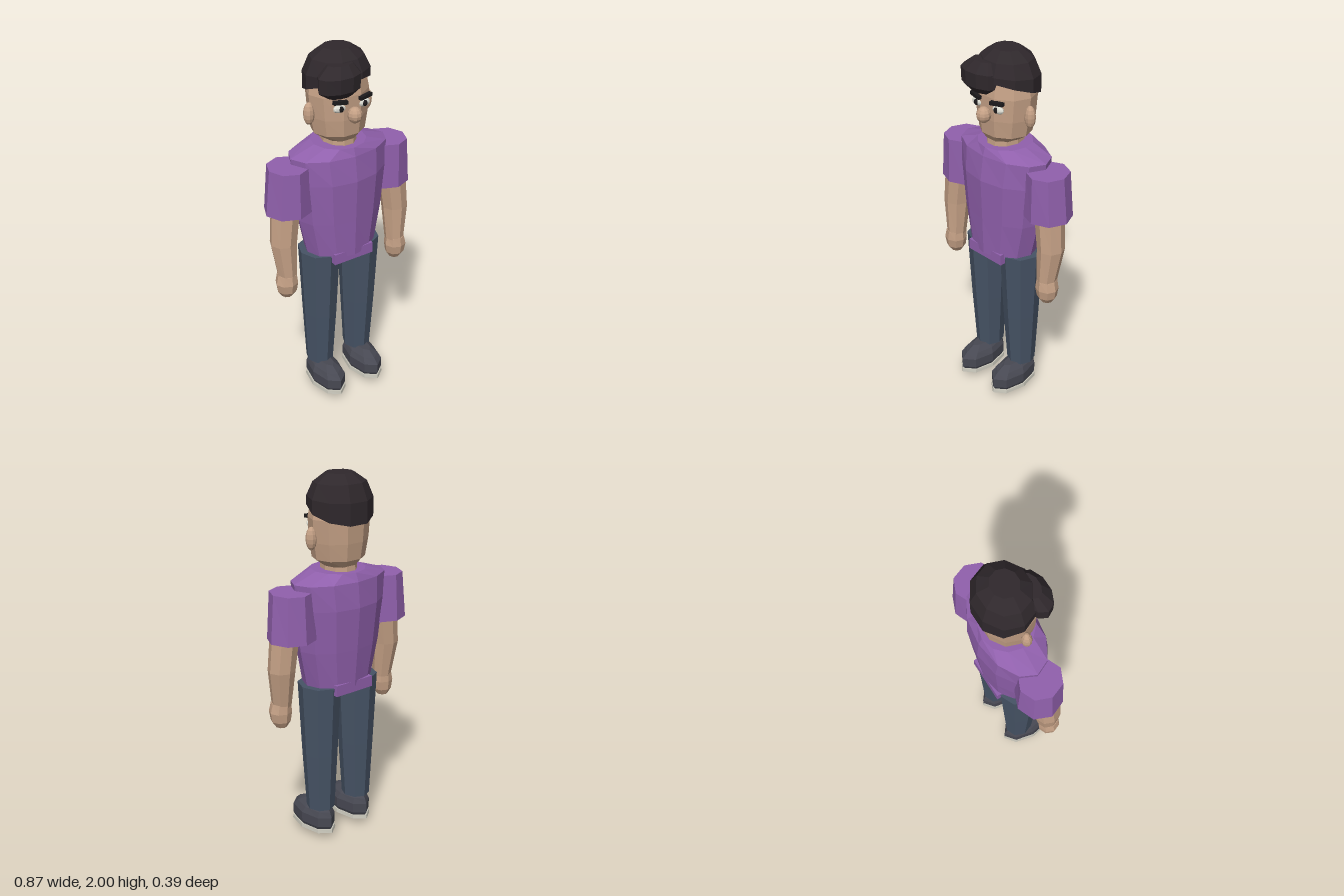
import * as THREE from 'three';

const mat = (color) => new THREE.MeshStandardMaterial({ color, flatShading: true });

// Closed loft through elliptical rings, bottom to top: [y, cx, cz, rx, rz, tilt]
function loft(rings, sides) {
  const pos = [], idx = [];
  for (const [y, cx, cz, rx, rz, tilt = 0] of rings) {
    for (let j = 0; j < sides; j++) {
      const a = (j / sides) * Math.PI * 2;
      pos.push(cx + rx * Math.cos(a), y + tilt * Math.sin(a), cz + rz * Math.sin(a));
    }
  }
  const top = rings.length - 1;
  const lowC = rings.length * sides, topC = lowC + 1;
  for (const r of [rings[0], rings[top]]) pos.push(r[1], r[0], r[2]);
  for (let j = 0; j < sides; j++) {
    const k = (j + 1) % sides;
    for (let i = 0; i < top; i++) {
      const a = i * sides + j, b = i * sides + k;
      idx.push(a, a + sides, b + sides, a, b + sides, b);
    }
    idx.push(lowC, j, k, topC, top * sides + k, top * sides + j);
  }
  const g = new THREE.BufferGeometry();
  g.setAttribute('position', new THREE.Float32BufferAttribute(pos, 3));
  g.setIndex(idx);
  const flat = g.toNonIndexed();
  flat.computeVertexNormals();
  return flat;
}

export function createModel() {
  const root = new THREE.Group();
  const skin = mat(0xc4a085), shirt = mat(0x9060ac), denim = mat(0x465365);
  const shoeGrey = mat(0x474852), soleWhite = mat(0xc4c2b6), hairDark = mat(0x2f282c);
  const eyeWhite = mat(0xdcdcd2), black = mat(0x1c1a1c);

  const add = (name, geometry, material, parent = root) => {
    const m = new THREE.Mesh(geometry, material);
    m.name = name;
    parent.add(m);
    return m;
  };
  const ball = (name, material, x, y, z, rx, ry, rz, w = 10, h = 8) => {
    const m = add(name, new THREE.SphereGeometry(1, w, h), material);
    m.position.set(x, y, z);
    m.scale.set(rx, ry, rz);
    return m;
  };

  // Shirt body and the short hem between the legs
  add('torso', loft([
    [0.89, 0, -0.012, 0.2, 0.15],
    [1.1, 0, -0.018, 0.245, 0.163],
    [1.33, 0, -0.022, 0.27, 0.176],
    [1.465, 0, -0.025, 0.285, 0.16],
    [1.51, 0, -0.022, 0.145, 0.143],
  ], 12), shirt);
  const hem = add('shirtHem', new THREE.BoxGeometry(0.24, 0.06, 0.29), shirt);
  hem.position.set(0, 0.89, -0.016);

  // Neck and head
  add('neck', loft([[1.48, 0, -0.025, 0.09, 0.11], [1.56, 0, -0.025, 0.085, 0.105]], 10), skin);
  add('head', loft([
    [1.52, 0, -0.025, 0.07, 0.095],
    [1.57, 0, -0.025, 0.142, 0.128],
    [1.66, 0, -0.027, 0.158, 0.138],
    [1.78, 0, -0.03, 0.168, 0.142],
    [1.92, 0, -0.033, 0.14, 0.12],
  ], 10), skin);

  // Hair cap, lower at the back, with a quiff swept to one side
  add('hair', loft([
    [1.808, 0, -0.037, 0.176, 0.155, 0.054],
    [1.88, 0, -0.037, 0.177, 0.154, 0.012],
    [1.955, 0, -0.035, 0.142, 0.125],
    [2.0, 0, -0.033, 0.075, 0.07],
  ], 10), hairDark);
  add('quiff', loft([
    [1.79, -0.06, 0.085, 0.07, 0.04],
    [1.825, -0.063, 0.085, 0.118, 0.069],
    [1.9, -0.063, 0.085, 0.12, 0.072],
    [1.95, -0.05, 0.07, 0.07, 0.045],
  ], 10), hairDark);

  ball('nose', skin, 0, 1.69, 0.127, 0.038, 0.042, 0.038);

  for (const s of [1, -1]) {
    const side = s > 0 ? 'left' : 'right';

    // Face details
    ball(side + 'Ear', skin, s * 0.172, 1.685, -0.022, 0.03, 0.06, 0.027);
    ball(side + 'Eye', eyeWhite, s * 0.072, 1.73, 0.098, 0.036, 0.021, 0.018);
    ball(side + 'Pupil', black, s * 0.07, 1.73, 0.111, 0.014, 0.016, 0.009);
    const brow = add(side + 'Brow', new THREE.BoxGeometry(0.075, 0.018, 0.022), black);
    brow.position.set(s * 0.074, 1.766, 0.109);
    brow.rotation.set(0, s * 0.2, s * 0.08);

    // Sleeve, arm and hand
    add(side + 'Sleeve', loft([
      [1.185, s * 0.305, -0.025, 0.128, 0.125],
      [1.435, s * 0.303, -0.02, 0.108, 0.115],
    ], 8), shirt);
    add(side + 'Arm', loft([
      [0.82, s * 0.347, 0.017, 0.05, 0.055],
      [1.02, s * 0.355, 0.0, 0.072, 0.072],
      [1.25, s * 0.33, -0.005, 0.08, 0.075],
    ], 8), skin);
    add(side + 'Hand', loft([
      [0.702, s * 0.353, 0.015, 0.03, 0.032],
      [0.735, s * 0.353, 0.018, 0.053, 0.053],
      [0.785, s * 0.353, 0.02, 0.062, 0.06],
      [0.835, s * 0.35, 0.018, 0.052, 0.056],
    ], 8), skin);

    // Trouser leg
    add(side + 'Leg', loft([
      [0.17, s * 0.126, -0.026, 0.075, 0.08],
      [0.5, s * 0.126, -0.022, 0.093, 0.1],
      [0.9, s * 0.126, -0.02, 0.11, 0.122],
    ], 8), denim);

    // Shoe upper, pale welt and dark tread
    add(side + 'Shoe', loft([
      [0.05, s * 0.126, 0.035, 0.074, 0.145],
      [0.07, s * 0.126, 0.035, 0.083, 0.158],
      [0.125, s * 0.126, 0.035, 0.083, 0.158],
      [0.155, s * 0.126, 0.025, 0.066, 0.135],
      [0.18, s * 0.126, 0.01, 0.035, 0.1],
    ], 8), shoeGrey);
    add(side + 'Welt', loft([
      [0.034, s * 0.126, 0.035, 0.087, 0.162],
      [0.052, s * 0.126, 0.035, 0.083, 0.158],
    ], 8), soleWhite);
    add(side + 'Sole', loft([
      [0.0, s * 0.126, 0.035, 0.036, 0.065],
      [0.034, s * 0.126, 0.035, 0.083, 0.157],
    ], 8), shoeGrey);
    add(side + 'Tread', loft([
      [-0.0005, s * 0.126, 0.035, 0.034, 0.062],
      [0.01, s * 0.126, 0.035, 0.034, 0.062],
    ], 8), black);
  }
  return root;
}
